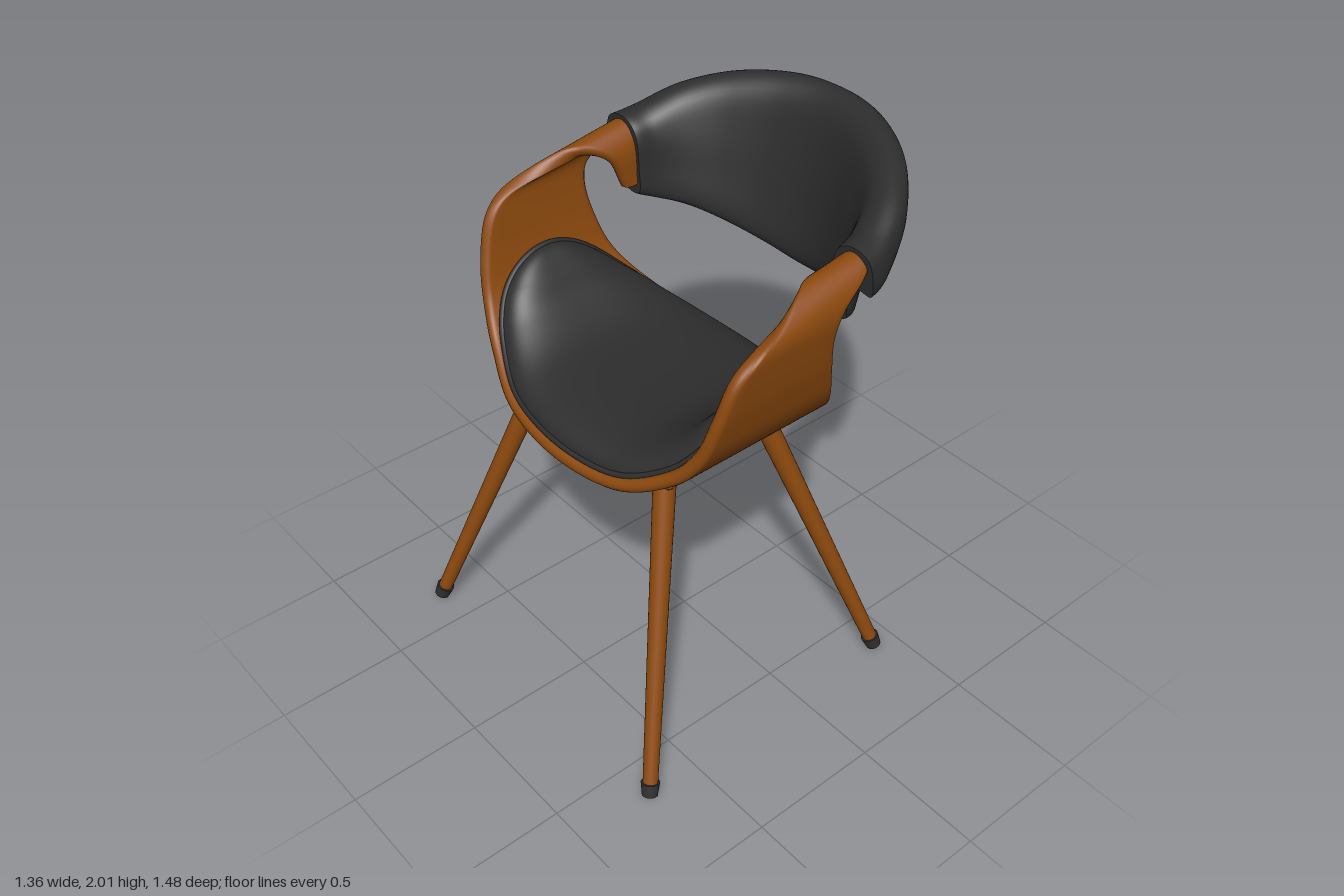
import * as THREE from 'three';

const V = (x, y, z) => new THREE.Vector3(x, y, z);
const wood = new THREE.MeshStandardMaterial({ color: 0x8c490e });
wood.name = 'walnut wood';
const fabric = new THREE.MeshStandardMaterial({ color: 0x2d2d2d });
fabric.name = 'charcoal upholstery';
const rubber = new THREE.MeshStandardMaterial({ color: 0x303030 });
rubber.name = 'dark rubber';
const spline = (pts, closed = false) => new THREE.CatmullRomCurve3(pts, closed, 'catmullrom', 0.5);

function add(parent, name, geometry, material) {
  const mesh = new THREE.Mesh(geometry, material);
  mesh.name = name;
  parent.add(mesh);
  return mesh;
}

// Skin over a row of cross-sections; closed sections get end caps
function loft(rings, closed) {
  const pos = [], idx = [], n = rings[0].length;
  const put = (p) => pos.push(p.x, p.y, p.z) / 3 - 1;
  rings.forEach((r) => r.forEach(put));
  for (let i = 0; i < rings.length - 1; i++) {
    for (let j = 0; j < (closed ? n : n - 1); j++) {
      const k = (j + 1) % n, a = i * n + j, b = i * n + k;
      idx.push(a, b, a + n, b, b + n, a + n);
    }
  }
  if (closed) {
    [rings[0], rings[rings.length - 1]].forEach((r, end) => {
      const c = put(r.reduce((s, p) => s.add(p), V(0, 0, 0)).divideScalar(n));
      const first = pos.length / 3;
      r.forEach(put);
      for (let j = 0; j < n; j++) {
        const a = first + j, b = first + (j + 1) % n;
        if (end) idx.push(c, a, b); else idx.push(c, b, a);
      }
    });
  }
  const g = new THREE.BufferGeometry();
  g.setAttribute('position', new THREE.Float32BufferAttribute(pos, 3));
  g.setIndex(idx);
  g.computeVertexNormals();
  return g;
}

// Bent shell, seat centre to arm hook: x, y, front z, back z, arm slope weight
const HALF = [
  [0, 1.065, 0.585, -0.345, 0], [0.28, 1.088, 0.555, -0.315, 0],
  [0.47, 1.185, 0.485, -0.225, 0], [0.57, 1.31, 0.44, -0.14, 0],
  [0.615, 1.45, 0.41, -0.09, 0], [0.64, 1.6, 0.36, -0.065, 0],
  [0.645, 1.7, 0.28, -0.1, 0.4], [0.62, 1.77, 0.16, -0.22, 1],
  [0.57, 1.79, 0.02, -0.24, 1], [0.528, 1.73, -0.09, -0.24, 1],
  [0.52, 1.59, -0.15, -0.24, 0],
];
const ROWS = [...HALF.slice(1).reverse().map(([x, ...r]) => [-x, ...r]), ...HALF];
const bend = spline(ROWS.map((r) => V(r[0], r[1], 0)));
const edges = spline(ROWS.map((r) => V(r[2], r[3], r[4])));

const shellEdges = (t) => edges.getPoint((t + 1) / 2);
const shellTangent = (t) => bend.getTangent((t + 1) / 2);
// Point on the shell at t (-1..1), depth z, pushed off the mid surface
function shellAt(t, z, off) {
  const p = bend.getPoint((t + 1) / 2), d = shellTangent(t);
  return V(p.x - d.y * off, p.y - shellEdges(t).z * 0.15 * (z + 0.2) + d.x * off, z);
}

function shellGeometry() {
  const rings = [], r = 0.025, N = 12, A = 6;
  for (let i = 0; i <= 140; i++) {
    const t = i / 70 - 1, e = shellEdges(t), f = e.x - r, b = e.y + r, ring = [];
    for (let j = 0; j < N; j++) ring.push(shellAt(t, b + (f - b) * j / N, r));
    for (let j = 0; j < A; j++) {
      const a = Math.PI * j / A;
      ring.push(shellAt(t, f + r * Math.sin(a), r * Math.cos(a)));
    }
    for (let j = 0; j < N; j++) ring.push(shellAt(t, f + (b - f) * j / N, -r));
    for (let j = 0; j < A; j++) {
      const a = Math.PI * j / A;
      ring.push(shellAt(t, b - r * Math.sin(a), -r * Math.cos(a)));
    }
    rings.push(ring);
  }
  return loft(rings, true);
}

// Crowned cushion following the shell; s runs across, v runs back to front
const CUSHION_END = 0.39;
function cushionAt(s, v, lift) {
  const t = s * CUSHION_END, e = shellEdges(t);
  const round = Math.sqrt(Math.max(0, 1 - Math.abs(s) ** 5));
  const z = (e.x + e.y) / 2 + ((e.x - e.y) / 2 - 0.03) * round * v;
  const crown = 0.1 * round * Math.sqrt(Math.max(0, 1 - v ** 4));
  return shellAt(t, z, 0.025 + lift + crown);
}
function cushionGeometry() {
  const rings = [];
  for (let i = 0; i <= 60; i++) {
    const ring = [], s = Math.sin((i / 60 - 0.5) * Math.PI);
    for (let j = 0; j <= 36; j++) ring.push(cushionAt(s, Math.sin((j / 36 - 0.5) * Math.PI), 0.004));
    rings.push(ring);
  }
  return loft(rings, false);
}
function pipingGeometry() {
  const pts = [], N = 40;
  for (let i = 0; i < N; i++) pts.push(cushionAt(-Math.cos(Math.PI * i / N), 1, 0.004));
  for (let i = 0; i < N; i++) pts.push(cushionAt(Math.cos(Math.PI * i / N), -1, 0.004));
  return new THREE.TubeGeometry(spline(pts, true), 160, 0.011, 8, true);
}

// Backrest: outer top rail and inner bottom rail, from arm to centre
const OUTER = [[0.668, 1.83, -0.2], [0.64, 1.85, -0.3], [0.56, 1.91, -0.45],
  [0.4, 1.965, -0.6], [0.2, 1.995, -0.705], [0, 2, -0.74]];
const INNER = [[0.485, 1.56, -0.2], [0.45, 1.53, -0.27], [0.38, 1.5, -0.345],
  [0.27, 1.455, -0.42], [0.14, 1.405, -0.485], [0, 1.38, -0.51]];
// Sections as (inner to outer, bottom to top) fractions
const END = [[0, 0], [0, 0.4], [0.04, 0.72], [0.2, 0.93], [0.55, 1.01],
  [0.92, 0.9], [1, 0.5], [0.62, 0.5], [0.43, 0.3], [0.43, 0]];
const MID = [[0, 0.05], [0.12, 0.35], [0.27, 0.65], [0.45, 0.9], [0.72, 1],
  [0.96, 0.97], [1, 0.88], [0.76, 0.6], [0.5, 0.3], [0.2, 0]];
function backrestGeometry() {
  const rail = (pts) => spline([...pts, ...pts.slice(0, -1).reverse().map(([x, y, z]) => [-x, y, z])]
    .map((p) => V(...p)));
  const outer = rail(OUTER), inner = rail(INNER), rings = [];
  for (let i = 0; i <= 90; i++) {
    const t = i / 90, o = outer.getPoint(t), b = inner.getPoint(t);
    const w = THREE.MathUtils.smoothstep(1 - Math.abs(2 * t - 1), 0, 0.6);
    const section = spline(END.map(([n, h], k) => V(
      n + (MID[k][0] - n) * w, h + (MID[k][1] - h) * w, 0)), true);
    rings.push(section.getPoints(50).slice(0, 50).map((q) => V(
      b.x + (o.x - b.x) * q.x, b.y + (o.y - b.y) * q.y, b.z + (o.z - b.z) * q.x)));
  }
  return loft(rings, true);
}

// Round bar between two points
function bar(parent, name, from, to, r0, r1, material) {
  const dir = to.clone().sub(from);
  const mesh = add(parent, name, new THREE.CylinderGeometry(r1, r0, dir.length(), 24), material);
  mesh.position.copy(from).addScaledVector(dir, 0.5);
  mesh.quaternion.setFromUnitVectors(V(0, 1, 0), dir.normalize());
}

export function createModel() {
  const chair = new THREE.Group();
  chair.name = 'armchair';
  add(chair, 'bentShell', shellGeometry(), wood);
  add(chair, 'seatCushion', cushionGeometry(), fabric);
  add(chair, 'cushionPiping', pipingGeometry(), fabric);
  add(chair, 'backrest', backrestGeometry(), fabric);

  for (const side of [1, -1]) {
    for (const [name, topZ, footZ] of [['front', 0.375, 0.71], ['back', -0.065, -0.4]]) {
      const leg = new THREE.Group();
      leg.name = name + (side > 0 ? 'LeftLeg' : 'RightLeg');
      chair.add(leg);
      // Tapered leg with rubber foot
      const top = V(side * 0.345, 1.085, topZ), foot = V(side * 0.652, 0.004, footZ);
      const ankle = foot.clone().lerp(top, 0.042);
      bar(leg, 'legShaft', ankle, top, 0.027, 0.04, wood);
      bar(leg, 'footCap', foot, ankle, 0.028, 0.034, rubber);
      // Mounting plate under the shell, with four screws
      const t = side * 0.135, d = shellTangent(t);
      const mount = new THREE.Group();
      mount.name = 'legMount';
      mount.position.copy(shellAt(t, topZ, -0.031));
      mount.rotation.z = Math.atan2(d.y, d.x);
      leg.add(mount);
      add(mount, 'mountPlate', new THREE.BoxGeometry(0.14, 0.022, 0.12), wood);
      for (const x of [-0.05, 0.05]) for (const z of [-0.042, 0.042]) {
        add(mount, 'screw', new THREE.CylinderGeometry(0.011, 0.011, 0.012, 12), rubber)
          .position.set(x, -0.012, z);
      }
    }
  }
  return chair;
}
